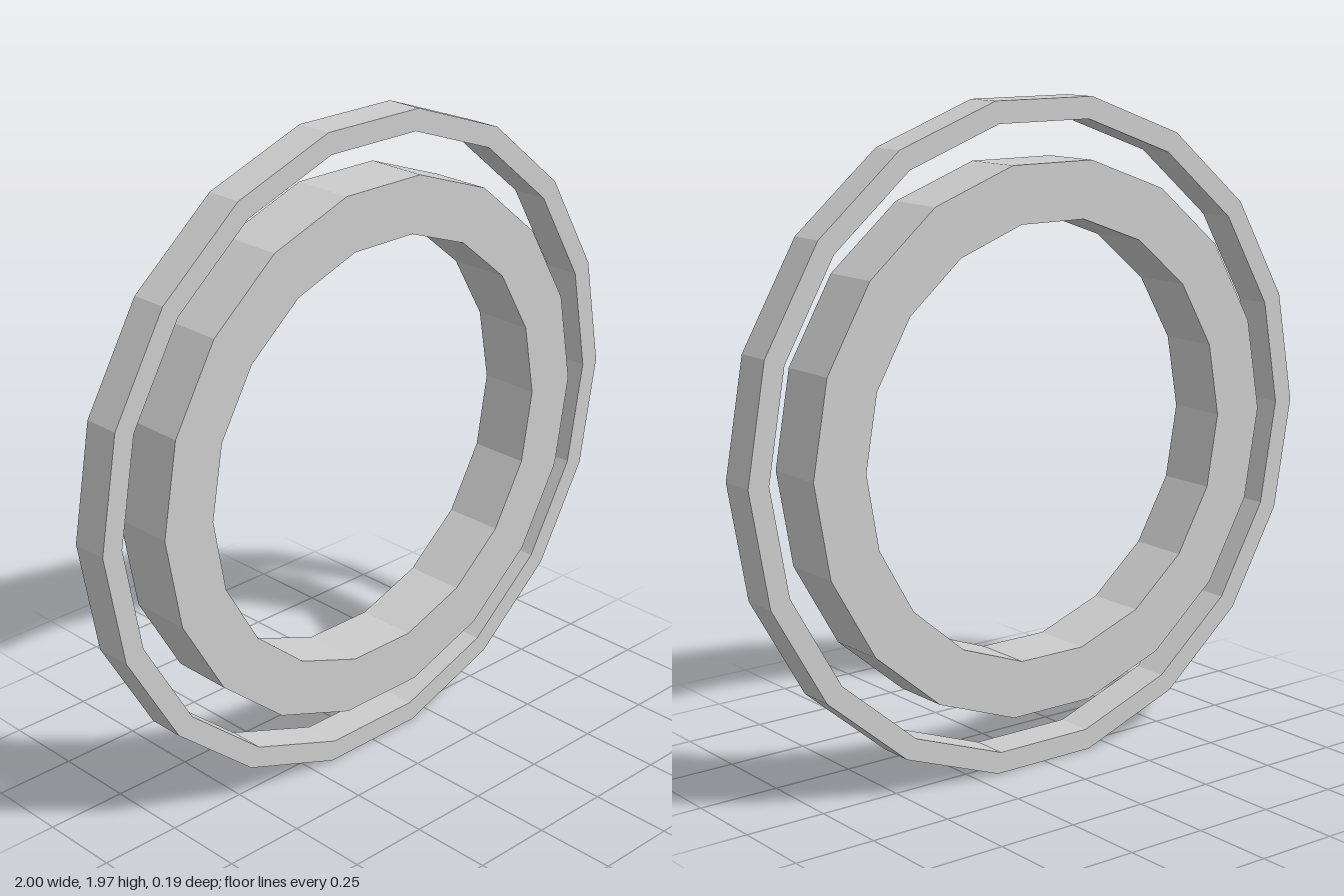
import * as THREE from 'three';

const SIDES = 18;
const CENTER_Y = Math.cos(Math.PI / SIDES); // flat edge rests on the ground

function polygon(radius) {
  return Array.from({ length: SIDES }, (_, i) => {
    const a = (i / SIDES) * Math.PI * 2;
    return new THREE.Vector2(radius * Math.cos(a), radius * Math.sin(a));
  });
}

// Flat-sided ring with a rectangular section, centred on z = 0
function makeRing(name, outer, inner, depth, material) {
  const shape = new THREE.Shape(polygon(outer));
  shape.holes.push(new THREE.Path(polygon(inner)));
  const geometry = new THREE.ExtrudeGeometry(shape, { depth, bevelEnabled: false });
  geometry.translate(0, CENTER_Y, -depth / 2);
  const mesh = new THREE.Mesh(geometry, material);
  mesh.name = name;
  return mesh;
}

export function createModel() {
  const lightGrey = new THREE.MeshStandardMaterial({ color: 0xcccccc });
  lightGrey.name = 'lightGrey';

  const group = new THREE.Group();
  group.name = 'concentricRings';
  group.add(
    makeRing('outerRing', 1, 0.935, 0.114, lightGrey), // thin, narrow hoop
    makeRing('innerRing', 0.82, 0.65, 0.19, lightGrey) // broad, deeper ring
  );
  return group;
}
